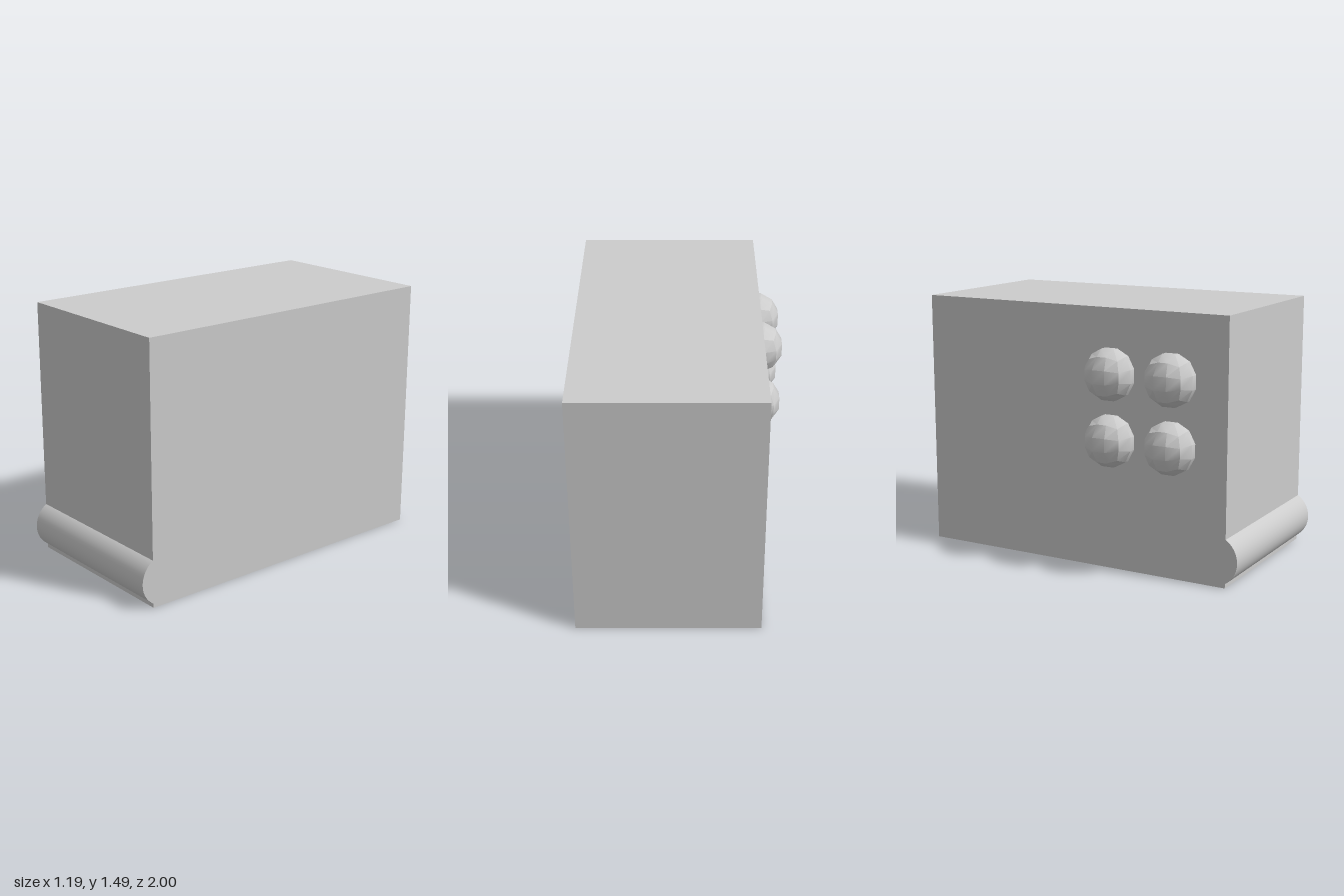
import * as THREE from 'three';
import { toCreasedNormals } from 'three/addons/utils/BufferGeometryUtils.js';

// Cube-based ball: three quads per cube edge, spread by equal angles
function ballGeometry(radius) {
  const geo = new THREE.BoxGeometry(2, 2, 2, 3, 3, 3);
  const pos = geo.attributes.position;
  const v = new THREE.Vector3();
  const bend = (t) => Math.tan((t * Math.PI) / 4);
  for (let i = 0; i < pos.count; i++) {
    v.fromBufferAttribute(pos, i);
    v.set(bend(v.x), bend(v.y), bend(v.z)).setLength(radius);
    pos.setXYZ(i, v.x, v.y, v.z);
  }
  return toCreasedNormals(geo, 0.5);
}

export function createModel() {
  const group = new THREE.Group();
  const grey = new THREE.MeshStandardMaterial({ color: 0xcccccc });
  grey.name = 'light grey';

  const add = (name, geo, x, y, z) => {
    const mesh = new THREE.Mesh(geo, grey);
    mesh.name = name;
    mesh.position.set(x, y, z);
    group.add(mesh);
    return mesh;
  };

  const width = 1.043, height = 1.487, depth = 1.93;
  const centreX = 0.0725;

  // Plain block
  add('body', new THREE.BoxGeometry(width, height, depth), centreX, height / 2, -0.035);

  // Roller set into the lower front edge, flush with both sides
  const roller = add('frontRoller', new THREE.CylinderGeometry(0.147, 0.147, width, 48), centreX, 0.15, 0.853);
  roller.rotation.z = Math.PI / 2;

  // Two by two knobs, half sunk into the side
  const ball = ballGeometry(0.154);
  for (const y of [0.745, 1.12]) {
    for (const z of [0.222, 0.597]) add('sideKnob', ball, -0.451, y, z);
  }
  return group;
}
